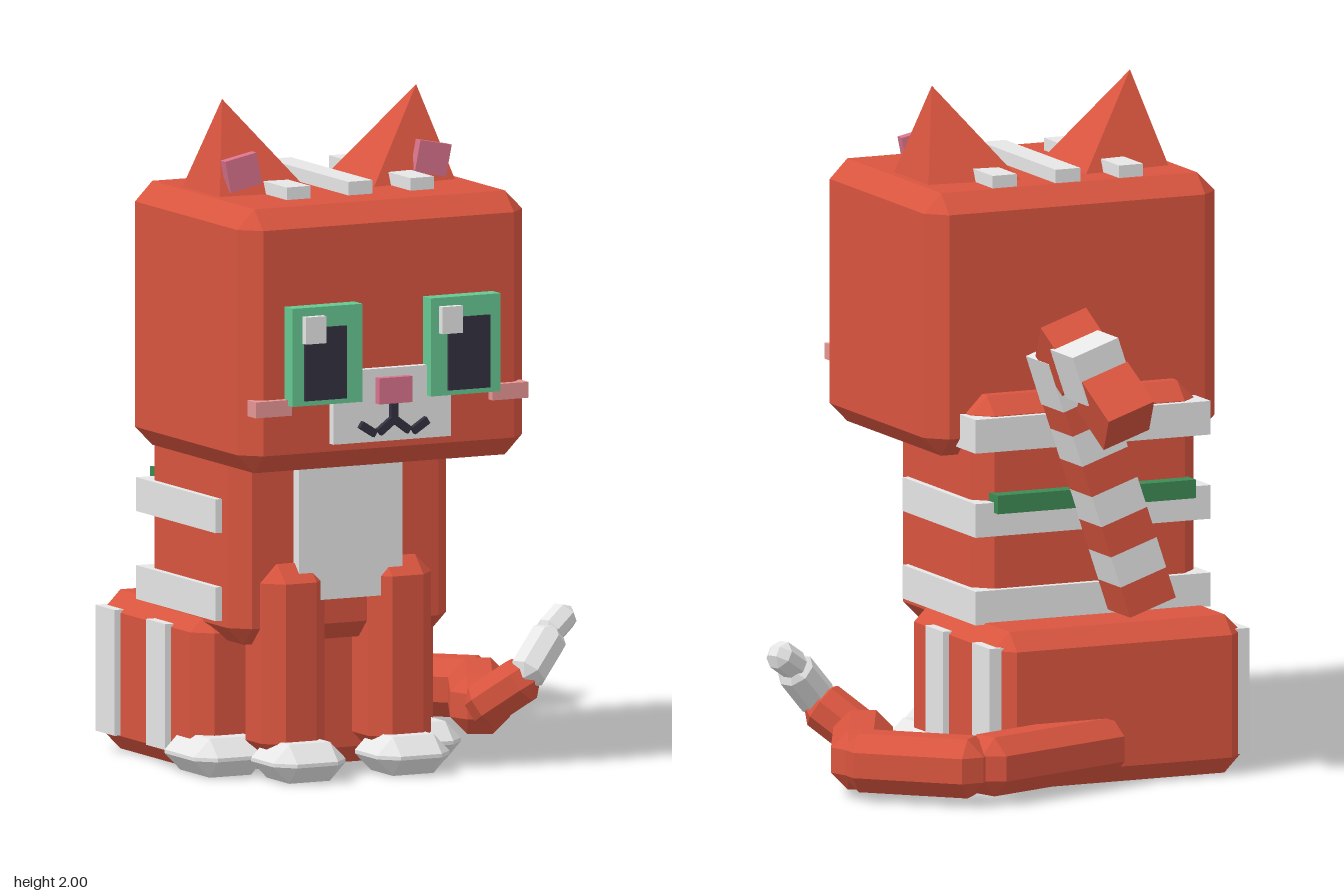
import * as THREE from 'three';
import { ConvexGeometry } from 'three/addons/geometries/ConvexGeometry.js';

const CX = -0.22; // middle plane of the cat's body

export function createModel() {
  const model = new THREE.Group();
  model.name = 'blockCat';

  const mat = (name, color) => {
    const m = new THREE.MeshStandardMaterial({ color });
    m.name = name;
    return m;
  };
  const fur = mat('red fur', 0xd9553f);
  const white = mat('white fur', 0xe6e6e6);
  const green = mat('eye green', 0x66c891);
  const dark = mat('dark ink', 0x33313f);
  const pink = mat('nose pink', 0xd9738c);
  const blush = mat('cheek pink', 0xe69694);
  const strapGreen = mat('strap green', 0x3d8a55);

  const add = (name, geometry, material) => {
    const mesh = new THREE.Mesh(geometry, material);
    mesh.name = name;
    model.add(mesh);
    return mesh;
  };

  // plain box given by its ranges
  const box = (name, material, [x0, x1], [y0, y1], [z0, z1]) => {
    const m = add(name, new THREE.BoxGeometry(x1 - x0, y1 - y0, z1 - z0), material);
    m.position.set((x0 + x1) / 2, (y0 + y1) / 2, (z0 + z1) / 2);
    return m;
  };

  // box with flat chamfers on all edges
  const chamferGeometry = (w, h, d, b) => {
    const pts = [];
    for (const sx of [-1, 1]) for (const sy of [-1, 1]) for (const sz of [-1, 1]) {
      const x = w / 2, y = h / 2, z = d / 2;
      pts.push(
        new THREE.Vector3(sx * x, sy * (y - b), sz * (z - b)),
        new THREE.Vector3(sx * (x - b), sy * y, sz * (z - b)),
        new THREE.Vector3(sx * (x - b), sy * (y - b), sz * z));
    }
    return new ConvexGeometry(pts);
  };
  const chamferBox = (name, material, [x0, x1], [y0, y1], [z0, z1], b) => {
    const m = add(name, chamferGeometry(x1 - x0, y1 - y0, z1 - z0, b), material);
    m.position.set((x0 + x1) / 2, (y0 + y1) / 2, (z0 + z1) / 2);
    return m;
  };

  // x range mirrored over the body's middle plane
  const flip = ([a, b]) => [2 * CX - b, 2 * CX - a];

  // main masses
  chamferBox('head', fur, [-0.69, 0.25], [0.95, 1.73], [-0.095, 0.665], 0.057);
  chamferBox('torso', fur, [-0.58, 0.14], [0.40, 1.135], [-0.18, 0.39], 0.053);
  chamferBox('haunches', fur, [-0.62, 0.18], [0.005, 0.475], [-0.42, 0.23], 0.053);
  box('bib', white, [-0.39, -0.05], [0.53, 1.0], [0.37, 0.425]);

  // bands round the sides and back of the torso
  for (const y of [0.47, 0.73, 0.98])
    box('torsoBand', white, [-0.6, 0.16], [y, y + 0.1], [-0.203, 0.3]);
  box('backStrap', strapGreen, [-0.54, 0.1], [0.8, 0.855], [-0.23, -0.17]);

  // paired parts: s = 1 is the model's left
  for (const s of [-1, 1]) {
    const side = s < 0 ? 'right' : 'left';
    const mx = (r) => (s < 0 ? r : flip(r));
    const px = (x) => (s < 0 ? x : 2 * CX - x);

    chamferBox(side + 'FrontLeg', fur, mx([-0.5, -0.292]), [0.06, 0.64], [0.243, 0.45], 0.053);
    chamferBox(side + 'FrontPaw', white, mx([-0.51, -0.272]), [0.005, 0.12], [0.3, 0.545], 0.052);
    chamferBox(side + 'BackPaw', white, mx([-0.66, -0.42]), [0.005, 0.12], [0.04, 0.33], 0.052);

    // stripes on the haunch
    for (const z of [-0.385, -0.065])
      box(side + 'HaunchStripe', white, mx([-0.64, -0.58]), [0.06, 0.432], [z, z + 0.122]);

    // ear: a pyramid leaning outwards
    add(side + 'Ear', new ConvexGeometry([
      [-0.54, 2.0, 0.225], [-0.61, 1.72, 0.1], [-0.325, 1.728, 0.07],
      [-0.325, 1.728, 0.37], [-0.61, 1.72, 0.345],
    ].map(([x, y, z]) => new THREE.Vector3(px(x), y, z))), fur);
    const inner = box(side + 'InnerEar', pink, mx([-0.585, -0.48]), [1.75, 1.845], [0.318, 0.348]);
    inner.rotation.z = -s * 0.2;

    box(side + 'HeadStripe', white, mx([-0.463, -0.385]), [1.69, 1.767], [-0.03, 0.487]);
    box(side + 'Eye', green, mx([-0.563, -0.333]), [1.155, 1.445], [0.65, 0.716]);
    box(side + 'Pupil', dark, mx([-0.525, -0.388]), [1.17, 1.385], [0.7, 0.724]);
    // both highlights sit on the same side of the eye
    const hx = s < 0 ? -0.53 : -0.08;
    box(side + 'EyeHighlight', white, [hx, hx + 0.067], [1.34, 1.42], [0.7, 0.738]);
    box(side + 'Cheek', blush, mx([-0.67, -0.55]), [1.125, 1.172], [0.636, 0.688]);
  }
  box('middleHeadStripe', white, [-0.26, -0.18], [1.69, 1.77], [-0.03, 0.487]);

  // muzzle, nose and mouth
  box('muzzle', white, [-0.415, -0.028], [1.03, 1.245], [0.65, 0.69]);
  box('nose', pink, [-0.277, -0.167], [1.143, 1.22], [0.67, 0.716]);
  const stroke = (x0, y0, x1, y1) => {
    const dx = x1 - x0, dy = y1 - y0;
    const m = add('mouthStroke', new THREE.BoxGeometry(Math.hypot(dx, dy), 0.023, 0.03), dark);
    m.position.set((x0 + x1) / 2, (y0 + y1) / 2, 0.692);
    m.rotation.z = Math.atan2(dy, dx);
  };
  stroke(CX, 1.15, CX, 1.085);
  for (const s of [-1, 1]) {
    stroke(CX, 1.095, CX + s * 0.05, 1.058);
    stroke(CX + s * 0.062, 1.055, CX + s * 0.11, 1.085);
  }

  // striped tail: a leaning stack of blocks
  const LEAN = -0.325, W = 0.155, STEP = 0.097;
  const block = (name, material, x, y, z, h, pitch = 0) => {
    const m = add(name, new THREE.BoxGeometry(W, h, W), material);
    m.position.set(x, y, z);
    m.rotation.set(pitch, 0, LEAN, 'ZXY');
  };
  for (let i = 0; i < 7; i++) {
    const t = (i + 0.5) * STEP;
    block('stripedTailSegment', i % 2 ? white : fur,
      -0.33 - t * Math.sin(LEAN), 0.515 + t * Math.cos(LEAN), -0.304, STEP);
  }
  // its hooked end
  block('stripedTailBend', white, -0.08, 1.218, -0.325, W);
  block('stripedTailBend', fur, -0.053, 1.303, -0.428, W, -Math.PI / 4);
  block('stripedTailBend', white, -0.053, 1.275, -0.55, W);
  block('stripedTailTip', fur, -0.092, 1.172, -0.63, W, -Math.PI / 4);

  // lower tail: chamfered links curling round on the ground, then lifting
  const link = (name, material, p, q, w, b) => {
    const a = new THREE.Vector3(...p), c = new THREE.Vector3(...q);
    const m = add(name, chamferGeometry(w, w, a.distanceTo(c), b), material);
    m.position.copy(a).add(c).multiplyScalar(0.5);
    m.lookAt(c);
  };
  link('curlTail', fur, [-0.22, 0.117, -0.36], [0.33, 0.117, -0.55], 0.175, 0.05);
  link('curlTail', fur, [0.295, 0.117, -0.575], [0.61, 0.117, -0.275], 0.175, 0.05);
  link('curlTail', fur, [0.598, 0.117, -0.345], [0.4, 0.117, 0.055], 0.175, 0.05);
  link('curlTail', fur, [0.385, 0.1, 0.035], [0.515, 0.225, 0.165], 0.135, 0.04);
  link('curlTailEnd', white, [0.48, 0.2, 0.165], [0.61, 0.34, 0.115], 0.11, 0.033);
  link('curlTailTip', white, [0.575, 0.32, 0.125], [0.678, 0.388, 0.08], 0.085, 0.027);

  return model;
}
